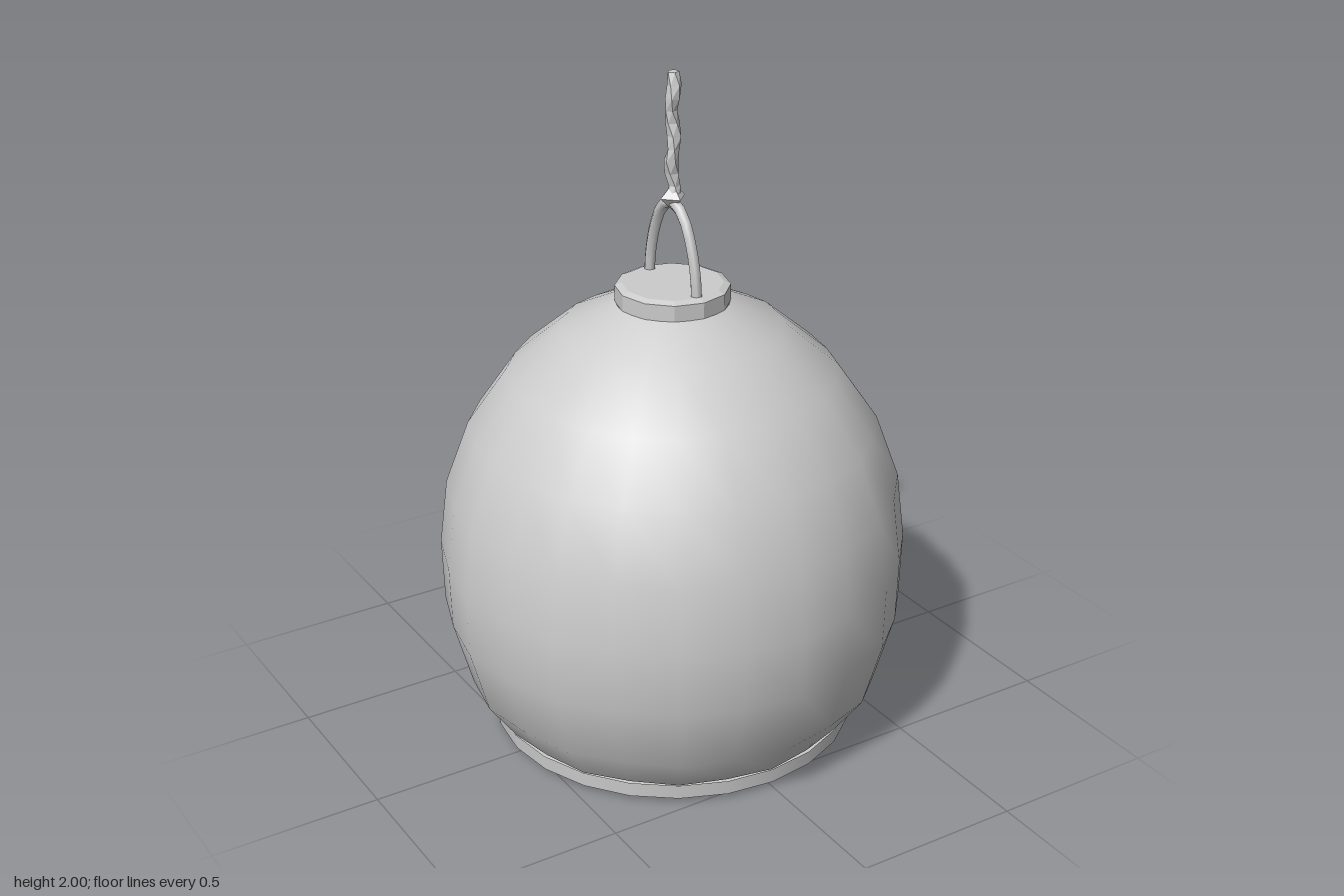
import * as THREE from 'three';

export function createModel() {
  const group = new THREE.Group();
  const material = new THREE.MeshStandardMaterial({ color: 0xcccccc, side: THREE.DoubleSide });
  const flat = new THREE.MeshStandardMaterial({ color: 0xcccccc, flatShading: true });

  const add = (name, geometry, mat = material) => {
    const mesh = new THREE.Mesh(geometry, mat);
    mesh.name = name;
    group.add(mesh);
    return mesh;
  };
  const lathe = (points, sides) =>
    new THREE.LatheGeometry(points.map(([r, y]) => new THREE.Vector2(r, y)), sides);

  // Smooth shade, every second rib pulled in a little
  const shade = lathe([
    [0.545, 0.06], [0.63, 0.18], [0.685, 0.38], [0.69, 0.57], [0.665, 0.77],
    [0.595, 0.96], [0.48, 1.125], [0.32, 1.26], [0.165, 1.335],
  ], 24);
  const pos = shade.attributes.position;
  for (let i = 0; i < pos.count; i++) {
    const rib = Math.floor(i / 9);
    const s = rib % 2 ? 0.985 : 1;
    pos.setXYZ(i, pos.getX(i) * s, pos.getY(i), pos.getZ(i) * s);
  }
  add('shade', shade);

  // Rim band, bevelled lower edge and closing disc
  add('rimBand', lathe([[0.545, 0.015], [0.547, 0.06]], 24));
  add('rimBevel', lathe([[0.51, 0], [0.545, 0.015]], 24));
  add('bottomDisc', new THREE.CircleGeometry(0.51, 24).rotateX(Math.PI / 2));

  // Cap on top of the shade
  add('cap', new THREE.CylinderGeometry(0.165, 0.165, 0.05, 12).translate(0, 1.357, 0), flat);
  add('capTop', new THREE.CylinderGeometry(0.145, 0.165, 0.008, 12).translate(0, 1.386, 0), flat);

  // Arched handle standing in the z plane
  const side = [[1.38, 0.125], [1.44, 0.12], [1.53, 0.095], [1.6, 0.055]];
  const arch = [
    ...side.map(([y, z]) => new THREE.Vector3(0, y, z)),
    new THREE.Vector3(0, 1.63, 0),
    ...side.slice().reverse().map(([y, z]) => new THREE.Vector3(0, y, -z)),
  ];
  add('handle', new THREE.TubeGeometry(new THREE.CatmullRomCurve3(arch), 14, 0.017, 6));

  // Knot where the cord meets the handle
  const knot = add('knot', new THREE.OctahedronGeometry(0.04), flat);
  knot.position.y = 1.643;

  // Cord: rings of five corners that twist and sway on the way up
  const cord = new THREE.CylinderGeometry(0.02, 0.02, 0.36, 5, 10);
  const p = cord.attributes.position;
  for (let i = 0; i < p.count; i++) {
    const y = p.getY(i), step = Math.round((y + 0.18) / 0.036);
    const turn = step * 0.4, s = step % 3 === 1 ? 0.85 : 1.05;
    const x = p.getX(i) * s, z = p.getZ(i) * s;
    p.setXYZ(i,
      x * Math.cos(turn) - z * Math.sin(turn) + 0.005 * Math.sin(step * 1.5),
      y + 1.82,
      x * Math.sin(turn) + z * Math.cos(turn) + 0.005 * Math.cos(step * 1.5));
  }
  add('cord', cord, flat);

  return group;
}
